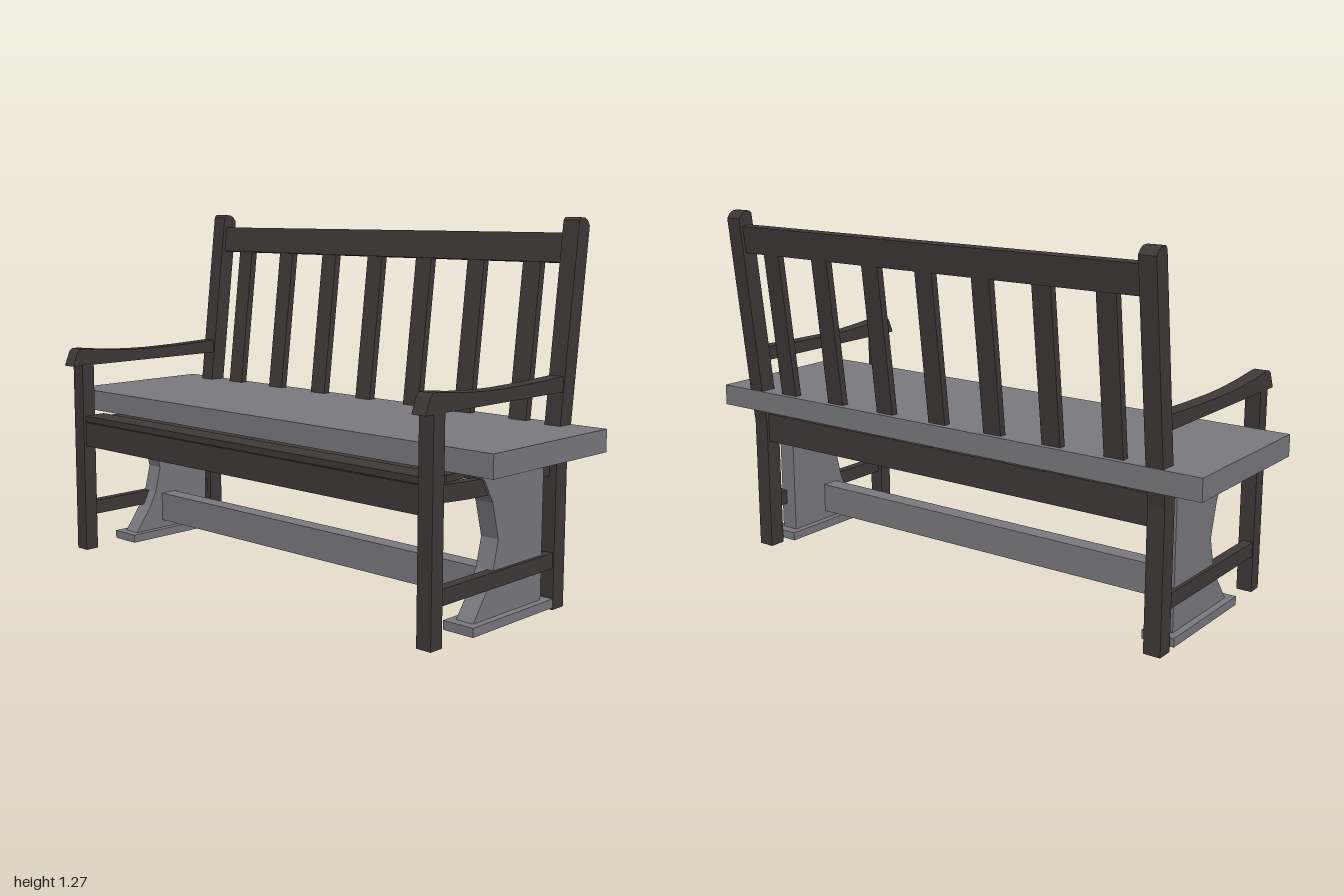
import * as THREE from 'three';

export function createModel() {
  const model = new THREE.Group();
  const wood = new THREE.MeshStandardMaterial({ color: 0x403938 });
  wood.name = 'darkWood';
  const stone = new THREE.MeshStandardMaterial({ color: 0x7a797e });
  stone.name = 'greyStone';

  const add = (name, geometry, material, x = 0, y = 0, z = 0) => {
    const mesh = new THREE.Mesh(geometry, material);
    mesh.name = name;
    mesh.position.set(x, y, z);
    model.add(mesh);
    return mesh;
  };

  // Box given by its limits on each axis
  const block = (name, material, [x0, x1], [y0, y1], [z0, z1]) =>
    add(name, new THREE.BoxGeometry(x1 - x0, y1 - y0, z1 - z0), material,
      (x0 + x1) / 2, (y0 + y1) / 2, (z0 + z1) / 2);

  // Side profile of [z, y] points, extruded to a width along x
  const profile = (points, width) => {
    const shape = new THREE.Shape(points.map(([z, y]) => new THREE.Vector2(z, y)));
    return new THREE.ExtrudeGeometry(shape, { depth: width, bevelEnabled: false })
      .translate(0, 0, -width / 2)
      .rotateY(-Math.PI / 2);
  };

  const lean = 0.122; // backward slope of the backrest
  const seatDip = (z) => 0.015 * (1 - Math.min(1, ((z - 0.03) / 0.29) ** 2));

  const backPost = [[-0.315, 0], [-0.255, 0], [-0.255, 0.48], [-0.27, 0.605],
    [-0.348, 1.26], [-0.358, 1.269], [-0.378, 1.268], [-0.395, 1.26], [-0.408, 1.243],
    [-0.332, 0.605], [-0.315, 0.48]];
  const armrest = [[0.41, 0.715], [0.388, 0.768], [0.375, 0.778], [0.35, 0.778], [0.25, 0.767],
    [0.13, 0.759], [0.03, 0.757], [-0.12, 0.759], [-0.285, 0.765], [-0.285, 0.715]];
  const pedestal = [[-0.208, 0.04], [0.15, 0.04], [0.08, 0.135], [0.052, 0.19], [0.028, 0.285],
    [0.06, 0.405], [0.1, 0.475], [0.15, 0.53], [-0.208, 0.53]];

  // Curved rail under the seat slats
  const seatRail = [];
  for (let i = 0; i <= 8; i++) seatRail.push([0.33 - i * 0.075, 0.5]);
  for (let i = 8; i >= 0; i--) seatRail.push([0.33 - i * 0.075, 0.445]);
  seatRail.forEach((p) => { p[1] -= seatDip(p[0]); });

  for (const [side, s] of [['left', 1], ['right', -1]]) {
    // Bench end frame
    add(side + 'BackPost', profile(backPost, 0.06), wood, s * 0.838);
    add(side + 'FrontLeg', new THREE.BoxGeometry(0.055, 0.71, 0.052), wood, s * 0.838, 0.365, 0.345);
    add(side + 'Armrest', profile(armrest, 0.052), wood, s * 0.84);
    add(side + 'Stretcher', new THREE.BoxGeometry(0.035, 0.052, 0.58), wood, s * 0.845, 0.164, 0.034);
    add(side + 'SeatRail', profile(seatRail, 0.035), wood, s * 0.825);
    // Stone support and its foot
    add(side + 'Pedestal', profile(pedestal, 0.066), stone, s * 0.818);
    add(side + 'PedestalFoot', new THREE.BoxGeometry(0.115, 0.03, 0.425), stone, s * 0.818, 0.027, -0.031);
  }

  // Stone slab and the beam joining the pedestals
  block('slab', stone, [-1, 1], [0.53, 0.605], [-0.335, 0.265]);
  block('pedestalBeam', stone, [-0.79, 0.79], [0.072, 0.18], [-0.045, 0.02]);

  // Bench rails
  block('frontRail', wood, [-0.815, 0.815], [0.41, 0.5], [0.325, 0.36]);
  block('backRail', wood, [-0.815, 0.815], [0.41, 0.515], [-0.305, -0.265]);
  const topRail = add('topRail', new THREE.BoxGeometry(1.63, 0.096, 0.034), wood, 0, 1.17, -0.37);
  topRail.rotation.x = -Math.atan(lean);

  // Seat slats follow the dip of the rails
  for (let i = 0; i < 6; i++) {
    const z = 0.315 - i * 0.109;
    add('seatSlat', new THREE.BoxGeometry(1.64, 0.022, 0.09), wood, 0, 0.514 - seatDip(z), z);
  }

  // Backrest slats
  for (let i = -3; i <= 3; i++) {
    const slat = add('backSlat', new THREE.BoxGeometry(0.07, 0.65, 0.026), wood,
      i * 0.229, 0.82, -0.302 - lean * 0.215);
    slat.rotation.x = -Math.atan(lean);
  }

  return model;
}
